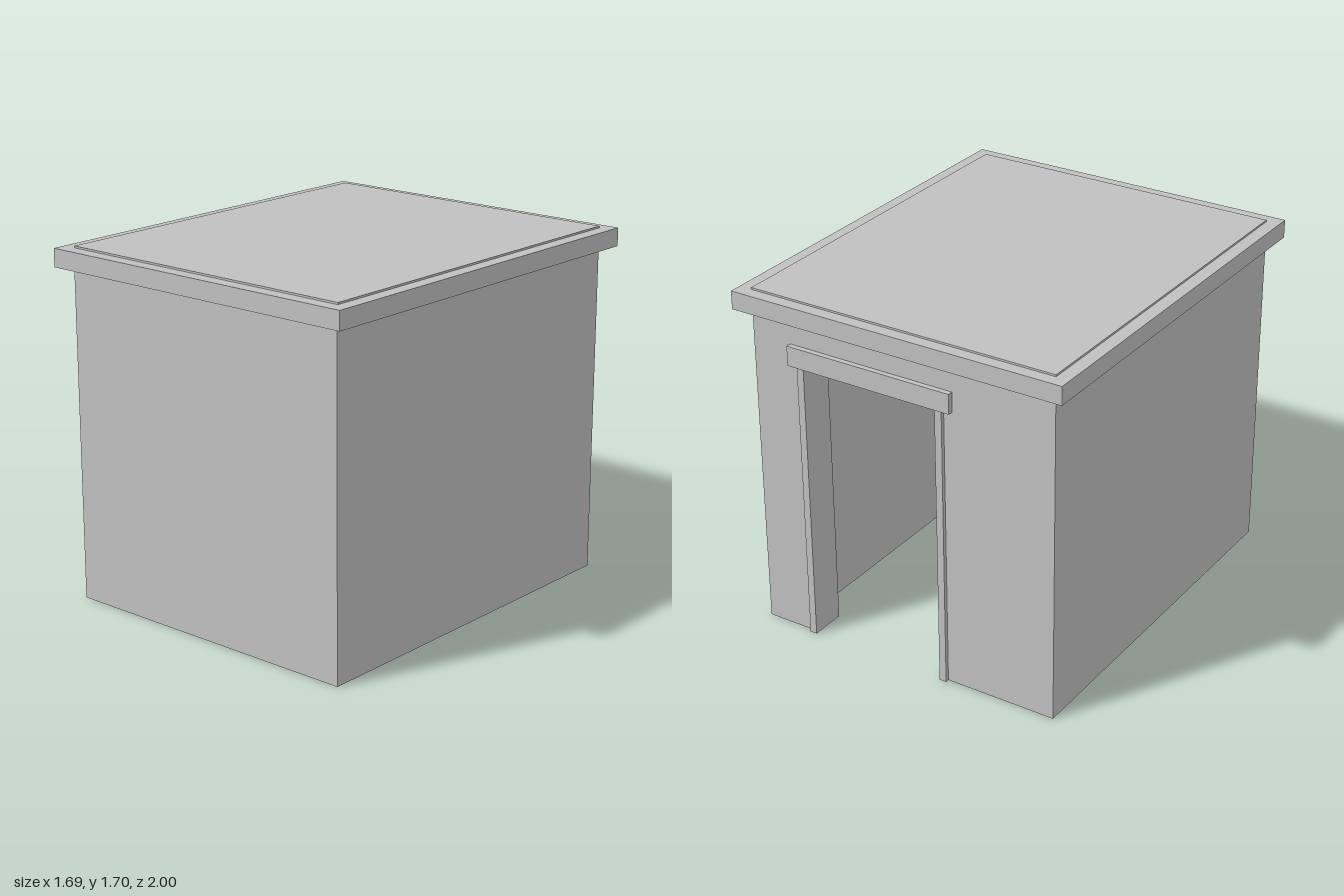
import * as THREE from 'three';

export function createModel() {
  const model = new THREE.Group();
  model.name = 'smallBuilding';
  const plaster = new THREE.MeshStandardMaterial({ color: 0xc0c0c0 });
  plaster.name = 'plain grey';

  const add = (name, geometry) => {
    const mesh = new THREE.Mesh(geometry, plaster);
    mesh.name = name;
    model.add(mesh);
  };
  // Box given by its extents on each axis
  const block = (name, [x0, x1], [y0, y1], [z0, z1]) => {
    const g = new THREE.BoxGeometry(x1 - x0, y1 - y0, z1 - z0);
    g.translate((x0 + x1) / 2, (y0 + y1) / 2, (z0 + z1) / 2);
    add(name, g);
  };

  const W = 0.78, D = 0.94, T = 0.157;   // wall half width, half depth, thickness
  const wallTop = 1.6, doorTop = 1.385;
  const doorL = 0.5, doorR = -0.192;     // off-centre doorway in the back wall
  const post = 0.035;

  // Walls: plan outline with a gap for the doorway (plan y is -z)
  const plan = new THREE.Shape([
    [doorR, D], [-W, D], [-W, -D], [W, -D], [W, D], [doorL, D],
    [doorL, D - T], [W - T, D - T], [W - T, T - D], [T - W, T - D], [T - W, D - T], [doorR, D - T],
  ].map(([x, y]) => new THREE.Vector2(x, y)));
  const walls = new THREE.ExtrudeGeometry(plan, { depth: wallTop, bevelEnabled: false });
  walls.rotateX(-Math.PI / 2);
  add('walls', walls);
  block('wallAboveDoor', [doorR, doorL], [doorTop, wallTop], [-D, T - D]);

  // Door surround
  block('leftDoorPost', [doorL, doorL + post], [0, 1.38], [-0.959, -D]);
  block('rightDoorPost', [doorR - post, doorR], [0, 1.38], [-0.959, -D]);
  block('doorLintel', [-0.27, 0.58], [1.38, 1.476], [-0.966, -D]);

  // Overhanging roof slab with a slightly raised panel
  block('roofSlab', [-0.845, 0.845], [wallTop, 1.688], [-1, 1]);
  block('roofPanel', [-W, W], [1.688, 1.697], [-D, 0.935]);

  return model;
}
